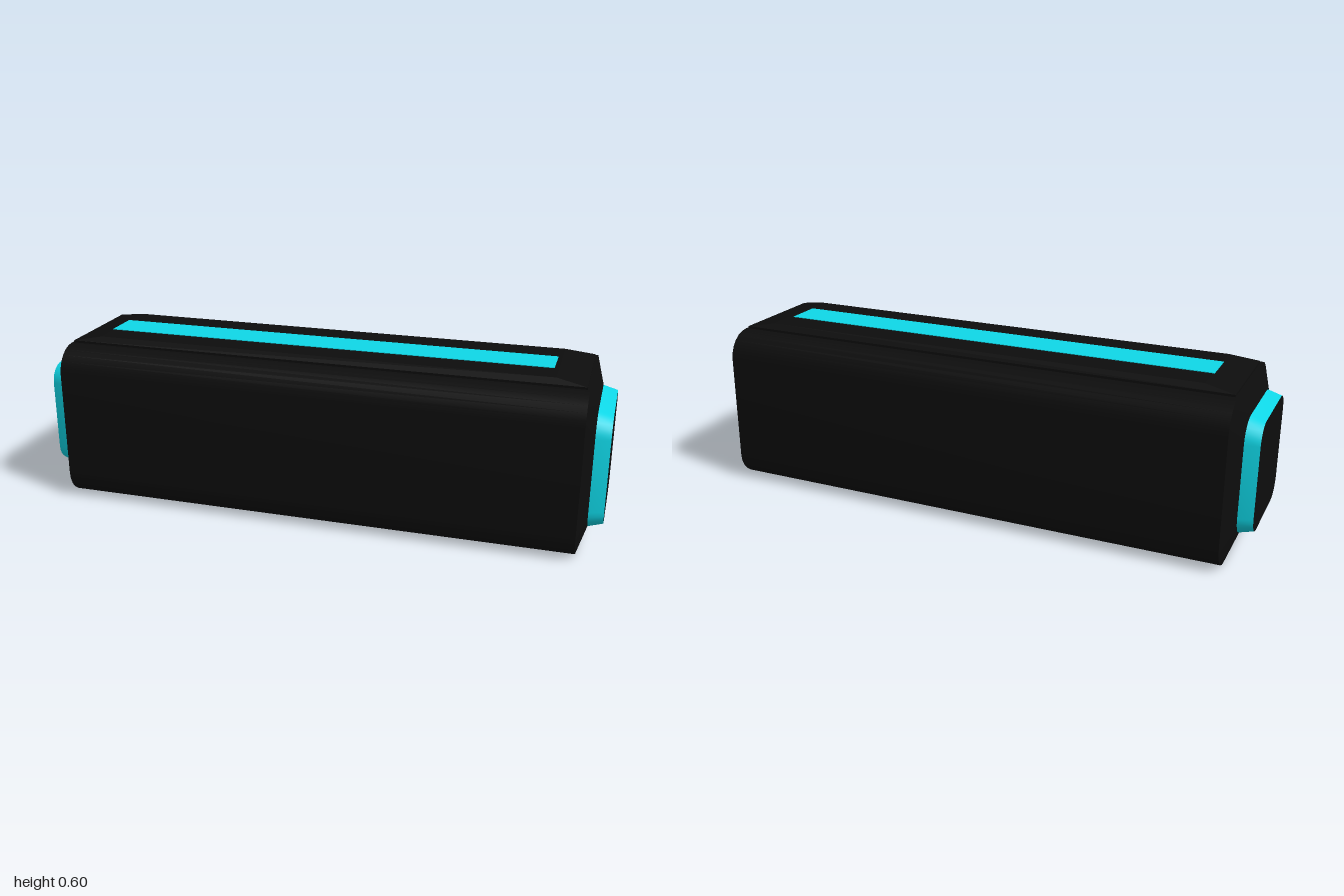
import * as THREE from 'three';
import { toCreasedNormals } from 'three/addons/utils/BufferGeometryUtils.js';
import { ConvexGeometry } from 'three/addons/geometries/ConvexGeometry.js';

const black = new THREE.MeshStandardMaterial({ color: 0x0d0d0d });
const cyan = new THREE.MeshStandardMaterial({ color: 0x0fd8e8 });
const CORNER_STEPS = 6;

// Rounded square across the x axis, counter-clockwise seen from +x
function ring(x, y, z, half, radius) {
  const points = [];
  for (let c = 0; c < 4; c++) {
    const mid = (c + 0.5) * Math.PI / 2;
    const cu = Math.sign(Math.cos(mid)) * (half - radius);
    const cv = Math.sign(Math.sin(mid)) * (half - radius);
    for (let i = 0; i <= CORNER_STEPS; i++) {
      const a = (c + i / CORNER_STEPS) * Math.PI / 2;
      points.push([x, y + cv + radius * Math.sin(a), z - cu - radius * Math.cos(a)]);
    }
  }
  return points;
}

// Skin through rings ordered by rising x, with optional flat ends
function loft(rings, closeStart = false, closeEnd = false) {
  const pos = [];
  const n = rings[0].length;
  for (let r = 0; r < rings.length - 1; r++) {
    const a = rings[r], b = rings[r + 1];
    for (let i = 0; i < n; i++) {
      const j = (i + 1) % n;
      pos.push(...a[i], ...a[j], ...b[j], ...a[i], ...b[j], ...b[i]);
    }
  }
  const first = rings[0], last = rings[rings.length - 1];
  for (let i = 1; i < n - 1; i++) {
    if (closeStart) pos.push(...first[0], ...first[i + 1], ...first[i]);
    if (closeEnd) pos.push(...last[0], ...last[i], ...last[i + 1]);
  }
  const geo = new THREE.BufferGeometry();
  geo.setAttribute('position', new THREE.Float32BufferAttribute(pos, 3));
  return toCreasedNormals(geo, 0.35);
}

export function createModel() {
  const model = new THREE.Group();
  model.name = 'speakerBar';
  const add = (name, geometry, material) => {
    const mesh = new THREE.Mesh(geometry, material);
    mesh.name = name;
    model.add(mesh);
    return mesh;
  };

  // Long body, with ends sloping in to the end caps
  const bodyRing = x => ring(x, 0.285, 0, 0.285, 0.095);
  const capBase = x => ring(x, 0.288, 0.019, 0.203, 0.075);
  const capTip = x => ring(x, 0.288, 0.017, 0.19, 0.065);
  add('body', loft([capBase(-0.95), bodyRing(-0.92), bodyRing(0.92), capBase(0.95)], true, true), black);

  // Coloured bands with dark end faces
  add('leftEndBand', loft([capBase(0.95), capTip(1)]), cyan);
  add('leftEndFace', loft([capTip(1)], false, true), black);
  add('rightEndBand', loft([capTip(-1), capBase(-0.95)]), cyan);
  add('rightEndFace', loft([capTip(-1)], true, false), black);

  // Raised top plate with bevelled edges
  const corners = [];
  for (const [x, y, z] of [[0.912, 0.56, 0.186], [0.912, 0.578, 0.186], [0.81, 0.595, 0.165]]) {
    for (const sx of [-1, 1]) {
      for (const sz of [-1, 1]) corners.push(new THREE.Vector3(sx * x, y, sz * z));
    }
  }
  add('topPlate', new ConvexGeometry(corners), black);

  // Light strip set in the plate
  const strip = add('lightStrip', new THREE.BoxGeometry(1.61, 0.01, 0.13), cyan);
  strip.position.set(-0.01, 0.592, 0.004);

  return model;
}
